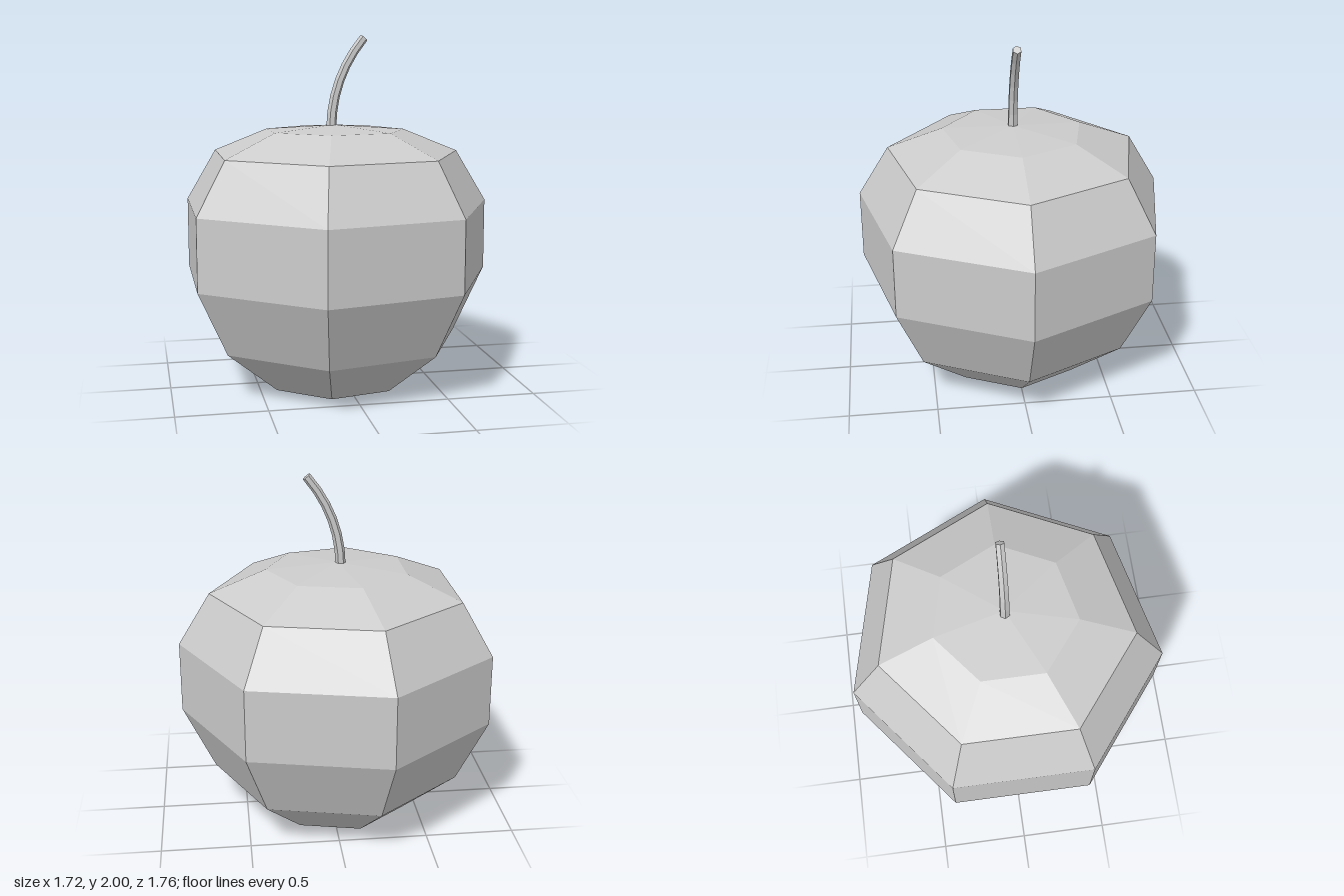
import * as THREE from 'three';

const material = () => new THREE.MeshStandardMaterial({ color: 0xcccccc, flatShading: true });

// Seven-sided fruit body, lathed from a short profile, one corner toward +x
function createBody() {
  const profile = [
    [0, 0], [0.405, 0.006], [0.725, 0.265], [0.905, 0.635],
    [0.905, 1.04], [0.725, 1.335], [0.405, 1.465], [0, 1.495],
  ].map(([r, y]) => new THREE.Vector2(r, y));
  const body = new THREE.Mesh(new THREE.LatheGeometry(profile, 7, Math.PI / 2), material());
  body.position.x = -0.045;
  body.name = 'fruitBody';
  return body;
}

// Six-sided stem: a slightly tapered cylinder bent along a curve in the xy plane
function createStem() {
  const curve = new THREE.QuadraticBezierCurve(
    new THREE.Vector2(-0.062, 1.47),
    new THREE.Vector2(-0.06, 1.76),
    new THREE.Vector2(0.127, 1.984),
  );
  const geometry = new THREE.CylinderGeometry(0.025, 0.029, 1, 6, 6);
  geometry.rotateY(Math.PI / 6).translate(0, 0.5, 0);
  const pos = geometry.attributes.position;
  for (let i = 0; i < pos.count; i++) {
    const t = THREE.MathUtils.clamp(pos.getY(i), 0, 1);
    const p = curve.getPoint(t);
    const d = curve.getTangent(t);
    const offset = pos.getX(i);
    pos.setXY(i, p.x + d.y * offset, p.y - d.x * offset);
  }
  geometry.computeVertexNormals();
  const stem = new THREE.Mesh(geometry, material());
  stem.name = 'stem';
  return stem;
}

export function createModel() {
  const fruit = new THREE.Group();
  fruit.name = 'fruit';
  fruit.add(createBody(), createStem());
  return fruit;
}
